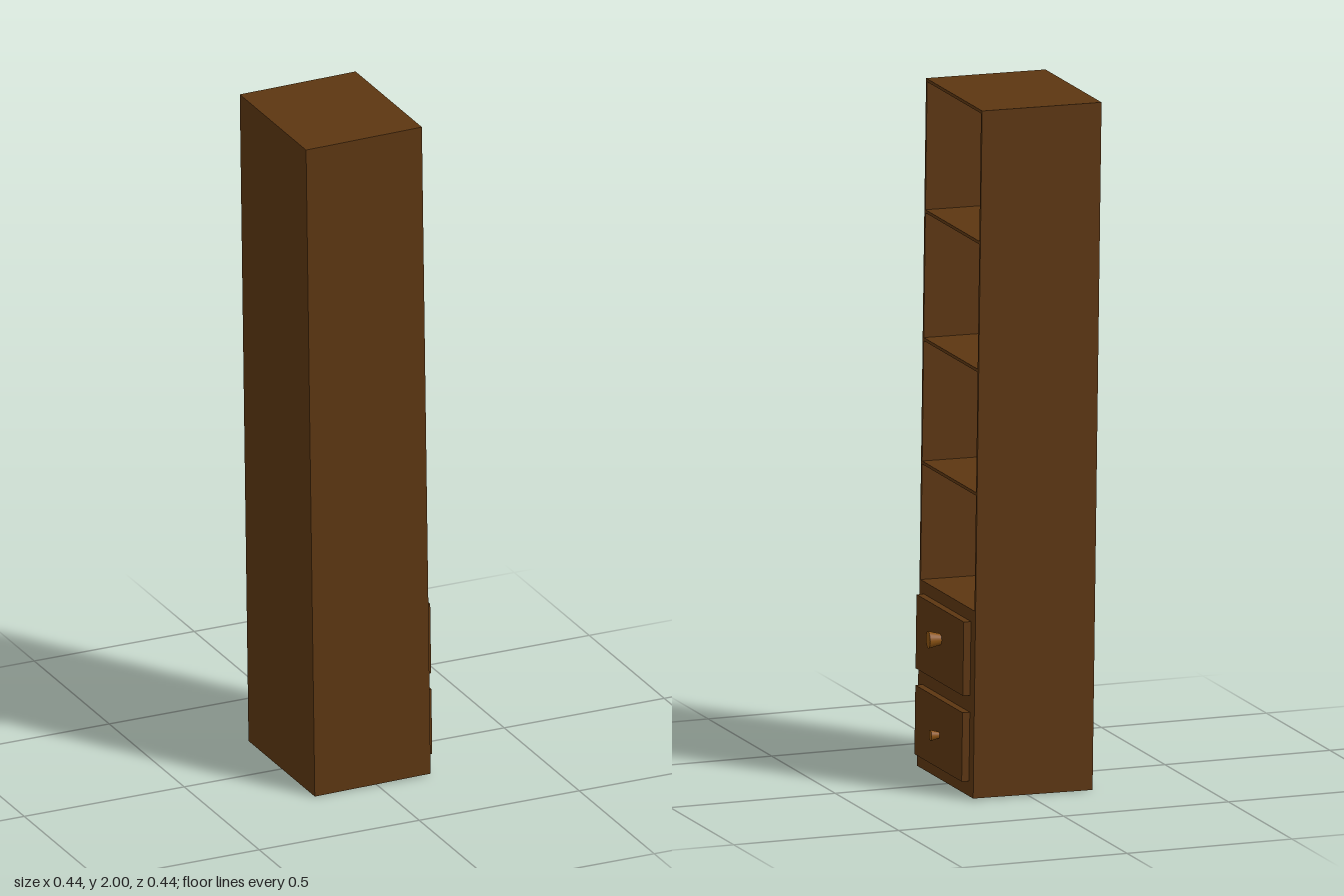
import * as THREE from 'three';

export function createModel() {
  const model = new THREE.Group();
  model.name = 'tallShelfCabinet';
  const wood = new THREE.MeshStandardMaterial({ color: 0x5c3611 });
  const knobWood = new THREE.MeshStandardMaterial({ color: 0x8a5212 });

  const D = 0.362, H = 1.995, W = 0.442; // depth (x), height (y), width (z)
  const T = 0.009;

  // The whole cabinet leans back slightly; its origin is the lower back edge
  const cabinet = new THREE.Group();
  cabinet.name = 'cabinet';
  cabinet.position.set(-0.195, 0, -0.001);
  cabinet.rotation.z = 0.0137;
  model.add(cabinet);

  // Box given by its x and y ranges and its width along z
  function board(name, x0, x1, y0, y1, width, z = 0) {
    const mesh = new THREE.Mesh(new THREE.BoxGeometry(x1 - x0, y1 - y0, width), wood);
    mesh.name = name;
    mesh.position.set((x0 + x1) / 2, (y0 + y1) / 2, z);
    cabinet.add(mesh);
  }

  // Carcass
  const inner = W - 2 * T;
  board('leftSide', 0, D, 0, H, T, (W - T) / 2);
  board('rightSide', 0, D, 0, H, T, -(W - T) / 2);
  board('backPanel', 0, T, 0, H, inner);
  board('topPanel', T, D, H - T, H, inner);
  board('bottomPanel', T, D, 0, T, inner);

  // Shelves, the lowest one covering the drawer compartment
  for (const top of [0.542, 0.886, 1.244, 1.615]) board('shelf', T, D, top - T, top, inner);
  board('drawerFrame', D - T, D, T, 0.542 - T, inner);

  // Raised drawer fronts with flared knobs
  const drawers = [
    { y0: 0.043, y1: 0.243, knobY: 0.138, length: 0.026, base: 0.009, tip: 0.016 },
    { y0: 0.292, y1: 0.506, knobY: 0.416, length: 0.036, base: 0.016, tip: 0.025 },
  ];
  for (const d of drawers) {
    const face = D + 0.022;
    board('drawerFront', D, face, d.y0, d.y1, 0.372);
    const geometry = new THREE.CylinderGeometry(d.tip, d.base, d.length, 24);
    geometry.rotateZ(-Math.PI / 2).translate(d.length / 2 - 0.002, 0, 0);
    const knob = new THREE.Mesh(geometry, knobWood);
    knob.name = 'drawerKnob';
    knob.position.set(face, d.knobY, 0);
    knob.rotation.y = -0.12;
    cabinet.add(knob);
  }
  return model;
}
